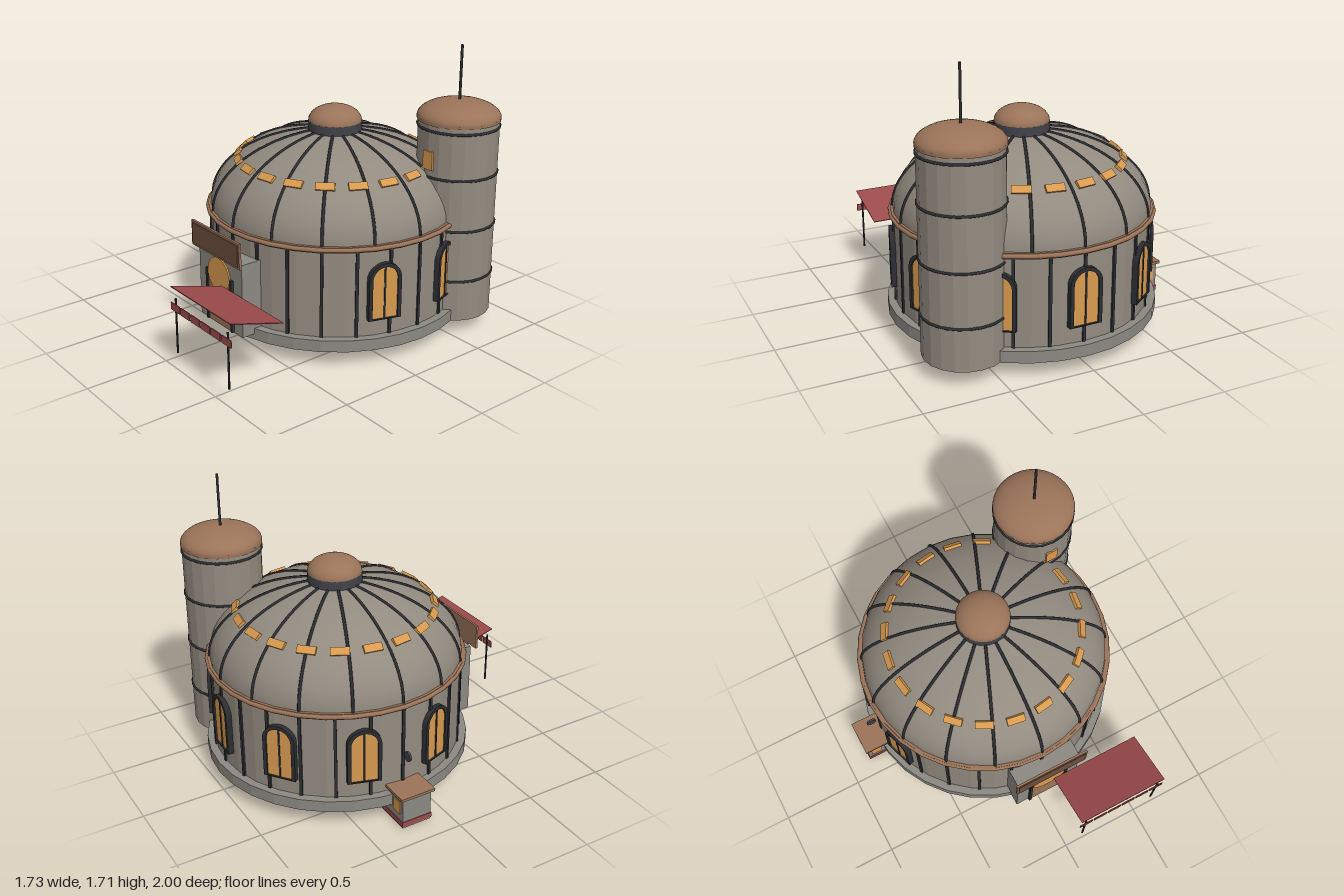
import * as THREE from 'three';

const mat = (name, color, extra = {}) => {
  const m = new THREE.MeshStandardMaterial({ color, ...extra });
  m.name = name;
  return m;
};

export function createModel() {
  const root = new THREE.Group();
  root.name = 'domedBuilding';
  const stone = mat('warmStone', 0x938b80, { side: THREE.DoubleSide });
  const plain = mat('greyStone', 0x8b8982);
  const brown = mat('copperBrown', 0x9b7459);
  const signBrown = mat('darkBrown', 0x6e4e3e);
  const dark = mat('darkMetal', 0x2b2d31);
  const slate = mat('slate', 0x414349);
  const amber = mat('amberGlass', 0xd89a4f);
  const red = mat('clothRed', 0x9c4a4c, { side: THREE.DoubleSide });

  const add = (name, geo, material, x = 0, y = 0, z = 0, parent = root) => {
    const mesh = new THREE.Mesh(geo, material);
    mesh.name = name;
    mesh.position.set(x, y, z);
    parent.add(mesh);
    return mesh;
  };
  const box = (name, x0, x1, y0, y1, z0, z1, material, parent = root) =>
    add(name, new THREE.BoxGeometry(x1 - x0, y1 - y0, z1 - z0), material,
      (x0 + x1) / 2, (y0 + y1) / 2, (z0 + z1) / 2, parent);
  // Upright cylinder with crisp facets
  const drum = (name, r, y0, y1, sides, material, x, z, parent = root, flat = true) => {
    let g = new THREE.CylinderGeometry(r, r, y1 - y0, sides);
    if (flat) { g = g.toNonIndexed(); g.computeVertexNormals(); }
    return add(name, g, material, x, (y0 + y1) / 2, z, parent);
  };
  const hoop = (name, r, tube, y, material, x, z, parent, sides = 32) => {
    const m = add(name, new THREE.TorusGeometry(r, tube, 8, sides), material, x, y, z, parent);
    m.rotation.x = Math.PI / 2;
    return m;
  };
  // Half ellipsoid
  const cap = (name, r, h, material, x, y, z, parent = root) => {
    const m = add(name, new THREE.SphereGeometry(1, 32, 12, 0, Math.PI * 2, 0, Math.PI / 2), material, x, y, z, parent);
    m.scale.set(r, h, r);
    return m;
  };
  const deg = Math.PI / 180;

  // Main hall, local origin on the dome axis
  const hall = new THREE.Group();
  hall.name = 'hall';
  hall.position.set(0.042, 0, -0.203);
  root.add(hall);
  const R = 0.75, H = 0.46, Y = 0.715;
  drum('plinth', 0.797, 0.1, 0.17, 32, plain, 0, 0, hall);
  drum('wall', R, 0.17, Y, 32, stone, 0, 0, hall);
  cap('dome', R, H, stone, 0, Y, 0, hall);
  drum('cornice', 0.765, 0.687, 0.722, 32, brown, 0, 0, hall);
  hoop('corniceRim', 0.765, 0.014, 0.705, brown, 0, 0, hall);
  drum('collar', 0.16, 1.165, 1.222, 24, slate, 0, 0, hall, false);
  cap('dome cap', 0.16, 0.095, brown, 0, 1.22, 0, hall);

  // Part placed on the hall at angle a (0 = front, toward +x)
  const spoke = (name, a) => {
    const g = new THREE.Group();
    g.name = name;
    g.rotation.y = a;
    hall.add(g);
    return g;
  };

  // Curved dome ribs
  const ribPoints = [];
  for (let i = 0; i <= 14; i++) {
    const t = i / 14 * 78 * deg;
    ribPoints.push(new THREE.Vector3(0, Y + H * Math.sin(t), R * Math.cos(t)));
  }
  const ribGeo = new THREE.TubeGeometry(new THREE.CatmullRomCurve3(ribPoints), 24, 0.009, 6);
  for (let i = 0; i < 16; i++) add('domeRib', ribGeo, dark, 0, 0, 0, spoke('ribSpoke', i * 22.5 * deg));

  // Wall ribs
  for (let i = 0; i < 24; i++)
    box('wallRib', -0.009, 0.009, 0.17, 0.69, R - 0.015, R + 0.008, dark, spoke('wallSpoke', i * 15 * deg));

  // Small roof lights around the dome
  for (let i = 0; i < 20; i++) {
    const m = add('roofLight', new THREE.BoxGeometry(0.108, 0.046, 0.022), amber, 0, 1.007, 0.582, spoke('lightSpoke', (9 + 18 * i) * deg));
    m.rotation.x = -46 * deg;
  }

  // Arched windows
  const arch = (w, y0, ySpring, Type = THREE.Shape) => {
    const s = new Type();
    s.moveTo(-w, y0);
    s.lineTo(w, y0);
    s.lineTo(w, ySpring);
    s.absarc(0, ySpring, w, 0, Math.PI, false);
    s.lineTo(-w, y0);
    return s;
  };
  const extrude = (s, depth) => new THREE.ExtrudeGeometry(s, { depth, bevelEnabled: false, curveSegments: 14 });
  const frameShape = arch(0.098, 0.272, 0.515);
  frameShape.holes.push(arch(0.076, 0.278, 0.515, THREE.Path));
  const frameGeo = extrude(frameShape, 0.045);
  const paneGeo = extrude(arch(0.08, 0.275, 0.515), 0.03);
  for (let i = 0; i < 7; i++) {
    const g = spoke('archedWindow', (72 + 36 * i) * deg);
    add('windowFrame', frameGeo, dark, 0, 0, 0.73, g);
    add('windowPane', paneGeo, amber, 0, 0, 0.735, g);
    box('mullion', -0.005, 0.005, 0.278, 0.59, 0.76, 0.77, dark, g);
  }

  // Entrance porch, door and sign
  box('porch', -0.168, 0.255, 0.135, 0.583, 0.42, 0.642, plain);
  box('door', -0.072, 0.155, 0.137, 0.46, 0.64, 0.65, brown);
  for (const x of [-0.078, 0.162]) box('doorPost', x - 0.009, x + 0.009, 0.137, 0.46, 0.64, 0.658, dark);
  const fan = add('fanlight', new THREE.CylinderGeometry(0.107, 0.107, 0.01, 36), amber, 0.042, 0.455, 0.652);
  fan.rotation.x = Math.PI / 2;
  box('signFrame', -0.195, 0.28, 0.573, 0.727, 0.66, 0.674, brown);
  box('signPanel', -0.183, 0.268, 0.585, 0.715, 0.672, 0.679, signBrown);

  // Awning rising outward, with flaps and posts
  const slope = Math.atan2(0.1, 0.34);
  const cloth = add('awning', new THREE.BoxGeometry(0.578, 0.005, 0.354), red, 0.367, 0.446, 0.827);
  cloth.rotation.x = -slope;
  for (let i = 0; i < 6; i++) {
    const x = 0.12 + i * 0.0985;
    box('awningFlap', x - 0.044, x + 0.044, 0.358, 0.402, 0.992, 0.998, red);
  }
  for (const x of [0.117, 0.62]) drum('awningPost', 0.006, 0.1, 0.435, 8, dark, x, 0.99);

  // Round tower
  const tower = new THREE.Group();
  tower.name = 'tower';
  tower.position.set(0.616, 0, -0.652);
  root.add(tower);
  drum('towerWall', 0.237, 0.1, 1.29, 20, stone, 0, 0, tower);
  for (const y of [0.35, 0.663, 0.975, 1.25]) hoop('towerBand', 0.237, 0.008, y, dark, 0, 0, tower, 24);
  drum('towerEave', 0.243, 1.283, 1.3, 24, brown, 0, 0, tower, false);
  cap('towerCap', 0.243, 0.1, brown, 0, 1.297, 0, tower);
  drum('antenna', 0.008, 1.38, 1.713, 8, dark, 0, 0, tower, false);
  box('towerWindow', -0.036, 0.038, 1.02, 1.13, 0.22, 0.243, amber, tower);

  // Small side kiosk
  const kiosk = new THREE.Group();
  kiosk.name = 'kiosk';
  root.add(kiosk);
  box('kioskBody', -0.857, -0.56, 0.002, 0.197, -0.293, -0.107, plain, kiosk);
  box('kioskBand', -0.861, -0.556, 0.012, 0.044, -0.297, -0.103, red, kiosk);
  box('kioskRoof', -0.873, -0.545, 0.195, 0.212, -0.31, -0.09, brown, kiosk);
  for (const z of [-0.295, -0.105])
    for (const x of [-0.8, -0.705, -0.61])
      box('kioskWindow', x - 0.035, x + 0.035, 0.088, 0.165, z - 0.004, z + 0.004, amber, kiosk);

  // Round plate on a bracket beside the wall
  const plate = add('wallPlate', new THREE.CylinderGeometry(0.03, 0.03, 0.014, 20), slate, -0.76, 0.4, -0.203);
  plate.rotation.x = Math.PI / 2;
  return root;
}
